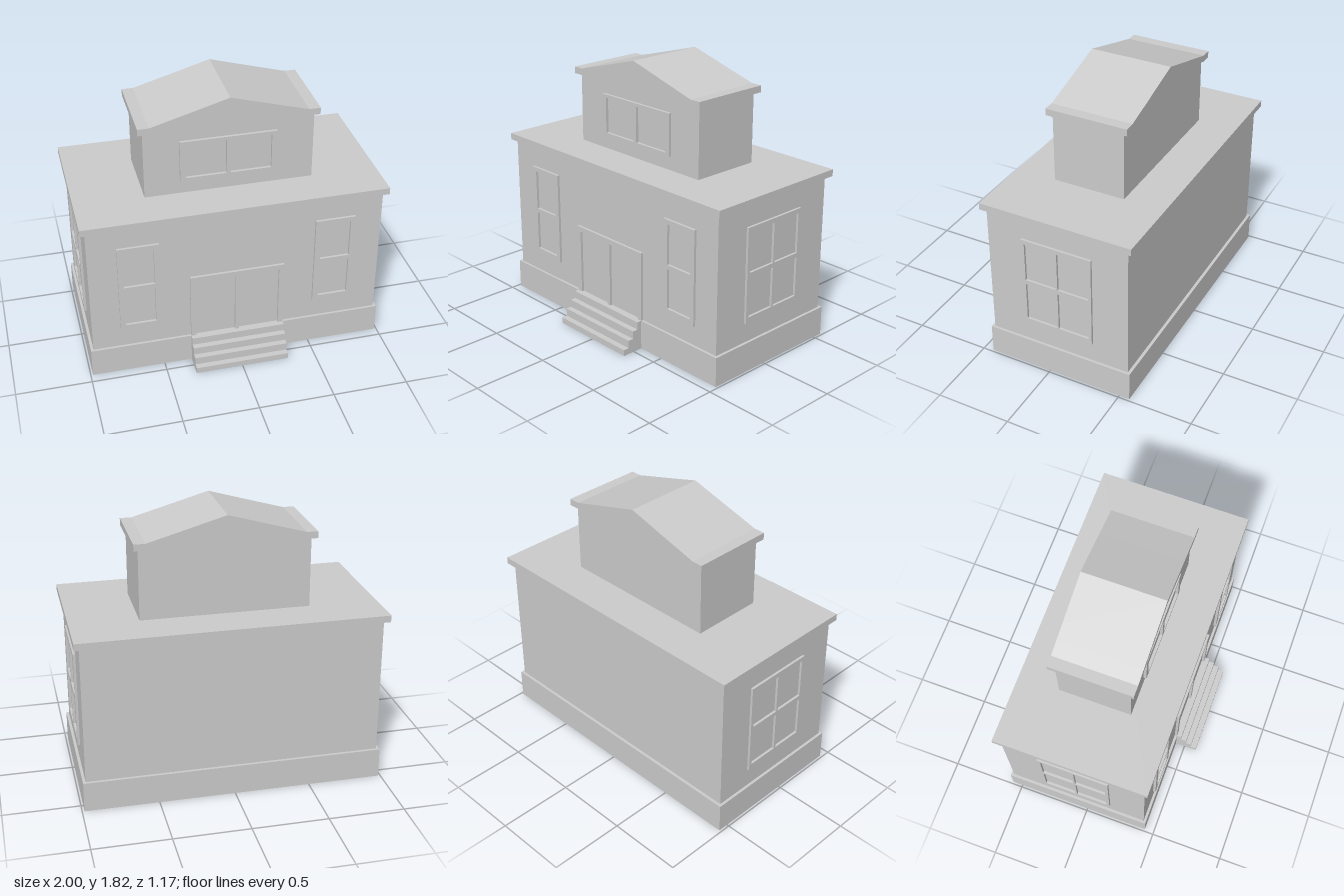
import * as THREE from 'three';

const material = new THREE.MeshStandardMaterial({ color: 0xcccccc, flatShading: true });

function add(parent, name, geometry) {
  const mesh = new THREE.Mesh(geometry, material);
  mesh.name = name;
  parent.add(mesh);
  return mesh;
}

// Box given by its minimum and maximum on each axis
function block(parent, name, [x0, x1], [y0, y1], [z0, z1]) {
  const mesh = add(parent, name, new THREE.BoxGeometry(x1 - x0, y1 - y0, z1 - z0));
  mesh.position.set((x0 + x1) / 2, (y0 + y1) / 2, (z0 + z1) / 2);
  return mesh;
}

// Outline in x and y, extruded from z0 to z1
function extrude(points, z0, z1, holes = []) {
  const shape = new THREE.Shape(points.map(p => new THREE.Vector2(...p)));
  for (const hole of holes) shape.holes.push(new THREE.Path(hole.map(p => new THREE.Vector2(...p))));
  return new THREE.ExtrudeGeometry(shape, { depth: z1 - z0, bevelEnabled: false }).translate(0, 0, z0);
}

const rect = ([x0, x1], [y0, y1]) => [[x0, y0], [x1, y0], [x1, y1], [x0, y1]];

// Raised frame with a grid of openings
function windowFrame(parent, name, width, height, columns, rows, z0, z1) {
  const holes = columns.flatMap(c => rows.map(r => rect(c, r)));
  return add(parent, name, extrude(rect(width, height), z0, z1, holes));
}

export function createModel() {
  const house = new THREE.Group();
  house.name = 'house';

  // Main storey
  block(house, 'foundation', [-0.985, 0.985], [0, 0.2], [-0.57, 0.435]);
  block(house, 'mainWalls', [-0.967, 0.967], [0.2, 1.12], [-0.55, 0.418]);
  block(house, 'flatRoof', [-1, 1], [1.12, 1.165], [-0.585, 0.447]);

  // Entrance stairs: a stepped profile in z and y, turned to run across x
  const profile = [[0.4, 0], [0.585, 0], [0.585, 0.042], [0.545, 0.042], [0.545, 0.095],
    [0.506, 0.095], [0.506, 0.148], [0.467, 0.148], [0.467, 0.2], [0.4, 0.2]];
  const stairs = add(house, 'frontStairs', extrude(profile, -0.315, 0.315));
  stairs.rotation.y = -Math.PI / 2;

  // Front door surround, open at the sill
  const door = [[-0.315, 0.2], [-0.28, 0.2], [-0.28, 0.64], [-0.015, 0.64], [-0.015, 0.2], [0.012, 0.2],
    [0.012, 0.64], [0.28, 0.64], [0.28, 0.2], [0.315, 0.2], [0.315, 0.675], [-0.315, 0.675]];
  add(house, 'doorFrame', extrude(door, 0.418, 0.435));

  // Ground floor windows
  const height = [0.335, 0.975];
  const rows = [[0.375, 0.645], [0.675, 0.945]];
  windowFrame(house, 'rightFrontWindow', [-0.78, -0.51], height, [[-0.745, -0.545]], rows, 0.418, 0.435);
  windowFrame(house, 'leftFrontWindow', [0.518, 0.787], height, [[0.555, 0.755]], rows, 0.418, 0.435);
  for (const side of [1, -1]) {
    const frame = windowFrame(house, side > 0 ? 'leftSideWindow' : 'rightSideWindow',
      [-0.241, 0.241], height, [[-0.219, -0.007], [0.007, 0.219]], rows, 0.967, 0.983);
    frame.rotation.y = side * Math.PI / 2;
    frame.position.z = -0.067;
  }

  // Upper storey, its walls rising to the underside of the curved gable roof
  const eave = [[-0.578, 1.675], [-0.505, 1.675], [-0.41, 1.702], [-0.31, 1.73], [0.004, 1.82],
    [0.318, 1.73], [0.418, 1.702], [0.513, 1.675], [0.588, 1.675]];
  const under = eave.map(([x, y]) => [x, y - 0.045]);
  const gable = [[-0.545, 1.165], [0.558, 1.165], [0.558, 1.63], ...under.slice(1, -1).reverse(), [-0.545, 1.63]];
  add(house, 'upperWalls', extrude(gable, -0.31, 0.174));
  add(house, 'gableRoof', extrude([...under, ...eave.slice().reverse()], -0.343, 0.205));
  windowFrame(house, 'upperWindow', [-0.315, 0.315], [1.258, 1.542],
    [[-0.28, -0.015], [0.012, 0.28]], [[1.28, 1.52]], 0.174, 0.193);

  return house;
}
